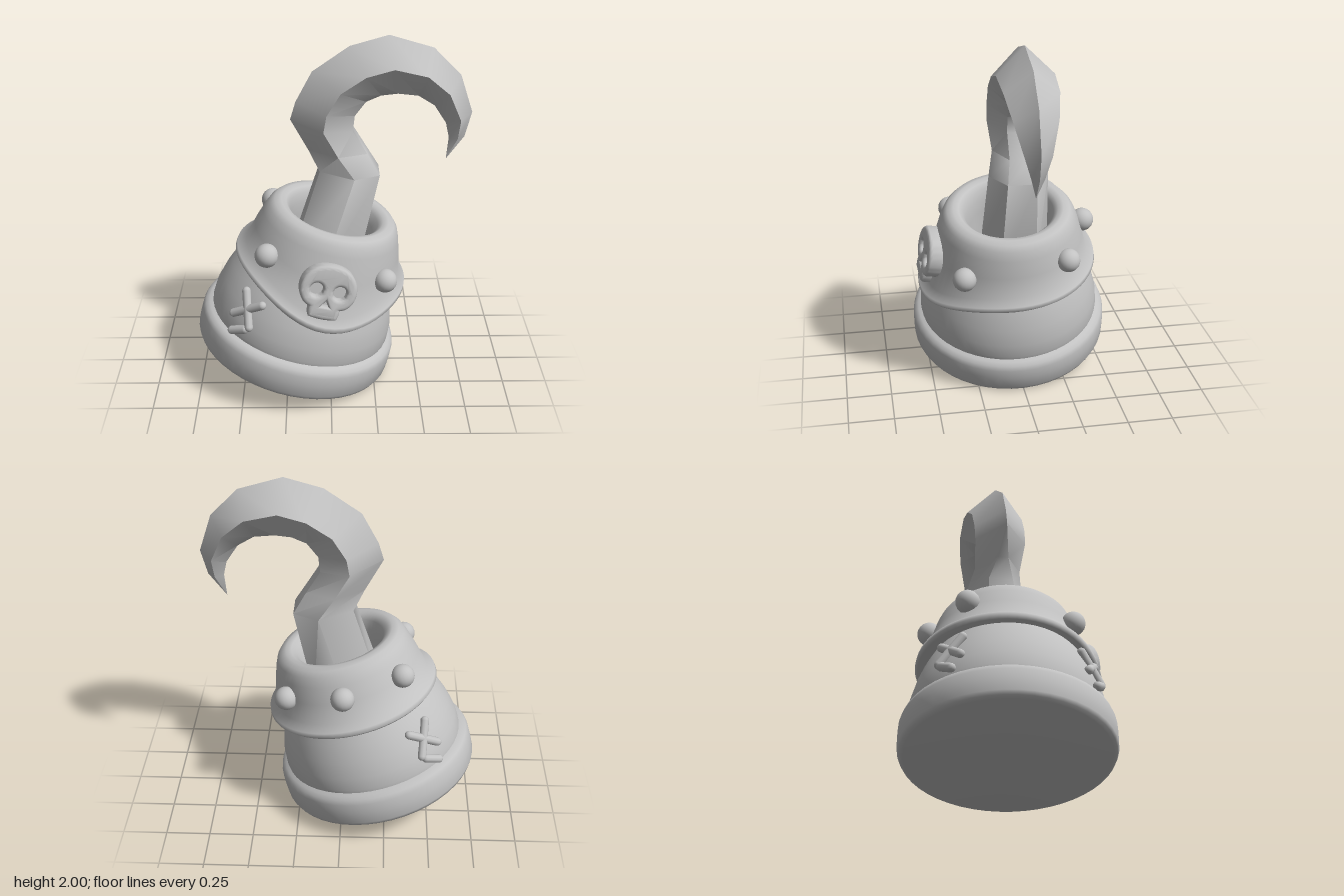
import * as THREE from 'three';
import { toCreasedNormals } from 'three/addons/utils/BufferGeometryUtils.js';

const metal = new THREE.MeshStandardMaterial({ color: 0xc2c2c2 });
metal.name = 'plain grey';

function add(parent, name, geometry) {
  const m = new THREE.Mesh(geometry, metal);
  m.name = name;
  parent.add(m);
  return m;
}

// Skin a list of closed rings (each ring counter-clockwise seen from the last ring)
function loft(rings) {
  const n = rings[0].length, index = [];
  for (let i = 0; i < rings.length - 1; i++) {
    for (let j = 0; j < n; j++) {
      const k = (j + 1) % n, a = i * n + j, b = i * n + k;
      index.push(a, b, b + n, a, b + n, a + n);
    }
  }
  const g = new THREE.BufferGeometry();
  g.setAttribute('position', new THREE.Float32BufferAttribute(rings.flat(2), 3));
  g.setIndex(index);
  g.computeVertexNormals();
  return g;
}

// Cuff with a thick foot ring
function cuffGeometry() {
  const p = [[0, 0], [0.54, 0], [0.56, 0.008], [0.57, 0.03], [0.572, 0.1], [0.57, 0.155], [0.56, 0.183],
    [0.54, 0.197], [0.522, 0.205], [0.524, 0.225], [0.518, 0.3], [0.494, 0.39], [0.46, 0.48], [0.425, 0.55], [0.4, 0.6]];
  const g = new THREE.LatheGeometry(p.map(([r, y]) => new THREE.Vector2(r, y)), 48);
  return toCreasedNormals(g, 1.0);
}

// Leather band whose lower edge dips under the skull
const bandRadius = v => 0.475 - 0.3 * (v - 0.55);
function bandGeometry() {
  const columns = [];
  for (let j = 0; j < 64; j++) {
    const t = (j / 64) * Math.PI * 2;
    let d = t - 0.12;
    if (d > Math.PI) d -= Math.PI * 2;
    const b = 0.558 - 0.13 * Math.exp(-0.5 * (d / 0.52) ** 2);
    const r = bandRadius(b), mid = (b + 0.92) / 2;
    const profile = [[r - 0.08, b], [r + 0.008, b], [r + 0.022, b + 0.015], [r + 0.018, b + 0.04],
      [bandRadius(b + 0.075) - 0.004, b + 0.07], [bandRadius(mid), mid], [bandRadius(0.83), 0.83],
      [0.37, 0.88], [0.345, 0.908], [0.31, 0.918], [0.28, 0.91], [0.255, 0.885], [0.24, 0.83],
      [0.225, 0.76], [0.215, 0.6], [0.2, 0.55], [0, 0.55]];
    columns.push(profile.map(([q, v]) => [0.03 + q * Math.sin(t), v, q * Math.cos(t)]));
  }
  return loft(columns[0].map((_, i) => columns.map(c => c[i])));
}

// Hook: outer x,y, inner x,y, position of widest line, half widths outer / widest / inner
function hookGeometry() {
  const stations = [
    [-0.22, 0.75, 0.16, 0.72, 0.5, 0.1, 0.195, 0.1],
    [-0.06, 1.25, 0.27, 1.23, 0.57, 0.07, 0.165, 0.08],
    [-0.12, 1.36, 0.2, 1.35, 0.5, 0.03, 0.132, 0.06],
    [-0.22, 1.53, 0.12, 1.48, 0.53, 0, 0.148, 0.06],
    [-0.19, 1.63, 0.13, 1.57, 0.52, 0, 0.15, 0.06],
    [-0.1, 1.8, 0.19, 1.65, 0.52, 0, 0.152, 0.06],
    [0.1, 1.94, 0.27, 1.685, 0.5, 0, 0.155, 0.06],
    [0.31, 2.0, 0.36, 1.695, 0.48, 0, 0.152, 0.06],
    [0.55, 1.93, 0.47, 1.68, 0.48, 0, 0.142, 0.05],
    [0.7, 1.78, 0.56, 1.62, 0.48, 0, 0.115, 0.035],
    [0.77, 1.57, 0.63, 1.51, 0.48, 0, 0.07, 0.02],
    [0.735, 1.43, 0.65, 1.42, 0.48, 0, 0.035, 0.01],
    [0.64, 1.3, 0.638, 1.3, 0.5, 0, 0, 0]];
  const rings = stations.map(([ox, oy, ix, iy, f, wo, wm, wi]) => {
    const mx = ox + (ix - ox) * f, my = oy + (iy - oy) * f;
    return [[ox, oy, wo], [mx, my, wm], [ix, iy, wi], [ix, iy, -wi], [mx, my, -wm], [ox, oy, -wo]];
  });
  return toCreasedNormals(loft(rings), 1.0);
}

// Skull outline, optionally with eye and nose holes
function skullShape(holes) {
  const s = new THREE.Shape();
  s.moveTo(-0.075, -0.14);
  s.quadraticCurveTo(0, -0.155, 0.075, -0.14);
  s.quadraticCurveTo(0.085, -0.11, 0.08, -0.085);
  s.bezierCurveTo(0.19, -0.06, 0.18, 0.15, 0, 0.15);
  s.bezierCurveTo(-0.18, 0.15, -0.19, -0.06, -0.08, -0.085);
  s.quadraticCurveTo(-0.085, -0.11, -0.075, -0.14);
  if (holes) {
    for (const x of [-0.064, 0.064]) {
      s.holes.push(new THREE.Path().absarc(x, 0.01, 0.04, 0, Math.PI * 2, true));
    }
    const nose = new THREE.Path();
    nose.moveTo(0, -0.04);
    nose.lineTo(0.024, -0.078);
    nose.lineTo(-0.024, -0.078);
    nose.closePath();
    s.holes.push(nose);
  }
  return s;
}

// Crossed stitches lying on the cuff at one angle
function stitches(parent, angle, mirror) {
  const g = new THREE.Group();
  g.name = 'stitches';
  g.position.set(0.495 * Math.sin(angle), 0.385, 0.495 * Math.cos(angle));
  g.rotation.set(-0.28, angle, 0, 'YXZ');
  for (const [x, y, turn, length] of [[0, 0, 0.6, 0.2], [0, 0, -0.85, 0.2], [0, -0.13, -1.0, 0.09]]) {
    const m = add(g, 'stitch', new THREE.CapsuleGeometry(0.024, length, 5, 10));
    m.position.set(x * mirror, y, 0.004);
    m.rotation.z = turn * mirror;
  }
  parent.add(g);
}

export function createModel() {
  const model = new THREE.Group();
  model.name = 'pirateHook';

  // Everything but the hook leans to one side
  const lean = new THREE.Group();
  lean.name = 'leaningCuff';
  lean.position.set(-0.225, 0.13, 0);
  lean.rotation.set(0.044, 0, -0.244);
  model.add(lean);
  add(lean, 'cuff', cuffGeometry());
  add(lean, 'band', bandGeometry());

  // Round studs around the band
  for (const deg of [48, 130, 180, 230, 312]) {
    const t = deg * Math.PI / 180, v = 0.728 - 0.04 * Math.cos(t);
    const r = bandRadius(v) + 0.018;
    add(lean, 'stud', new THREE.SphereGeometry(0.066, 20, 14))
      .position.set(0.03 + r * Math.sin(t), v, r * Math.cos(t));
  }

  // Skull badge: pierced front on a solid back
  const skull = new THREE.Group();
  skull.name = 'skullBadge';
  skull.position.set(0.044, 0.635, 0.39);
  skull.rotation.set(-0.25, 0.05, 0);
  lean.add(skull);
  const bevel = { bevelEnabled: true, bevelThickness: 0.022, bevelSize: 0.022, bevelOffset: -0.018, bevelSegments: 4, curveSegments: 20 };
  add(skull, 'skullFront', toCreasedNormals(
    new THREE.ExtrudeGeometry(skullShape(true), { ...bevel, depth: 0.09 }), 0.7));
  add(skull, 'skullBack', new THREE.ExtrudeGeometry(skullShape(false), { depth: 0.065, bevelEnabled: false, curveSegments: 20 }))
    .scale.set(0.95, 0.95, 1);

  // Stitches on the front and back of the wide side
  stitches(lean, -0.74, 1);
  stitches(lean, -Math.PI + 0.74, -1);

  add(model, 'hook', hookGeometry());
  return model;
}
